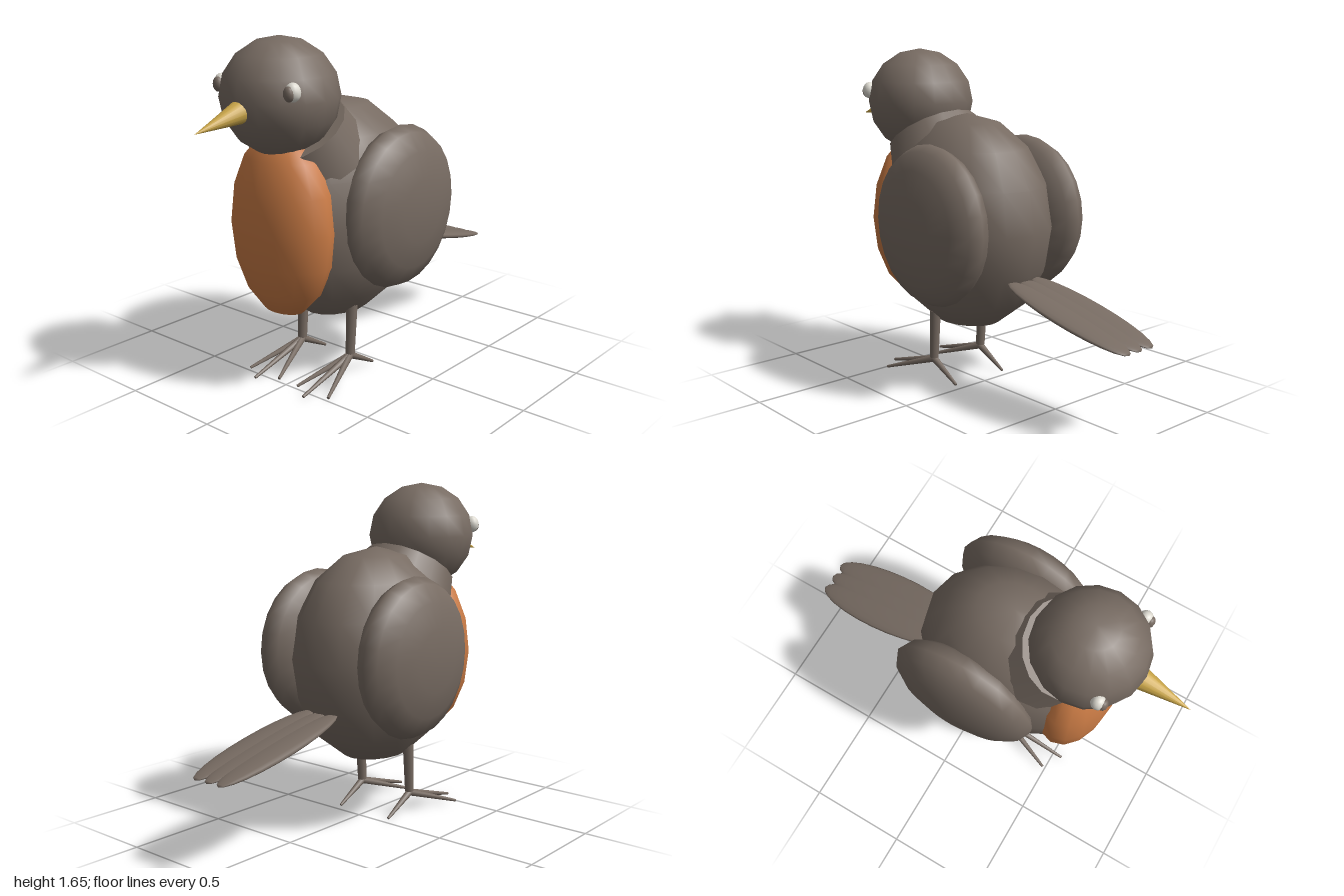
import * as THREE from 'three';

const mat = (name, hex) => Object.assign(new THREE.MeshStandardMaterial({ color: hex }), { name });

export function createModel() {
  const plumage = mat('greyBrown', 0x776b62);
  const orange = mat('breastOrange', 0xca7b45);
  const yellow = mat('beakYellow', 0xc9a548);
  const white = mat('eyeWhite', 0xdedbd2);

  const bird = new THREE.Group();
  bird.name = 'bird';

  const add = (name, geometry, material, parent = bird) => {
    const mesh = new THREE.Mesh(geometry, material);
    mesh.name = name;
    parent.add(mesh);
    return mesh;
  };

  // Smooth ellipsoid with few sides
  const ellipsoid = (name, material, pos, radii, w = 16, h = 8, parent = bird) => {
    const mesh = add(name, new THREE.SphereGeometry(1, w, h), material, parent);
    mesh.position.set(...pos);
    mesh.scale.set(...radii);
    return mesh;
  };

  // Tapered rod from a to b
  const rod = (name, material, a, b, ra, rb, sides = 10, parent = bird) => {
    const from = new THREE.Vector3(...a), to = new THREE.Vector3(...b);
    const dir = to.clone().sub(from);
    const mesh = add(name, new THREE.CylinderGeometry(rb, ra, dir.length(), sides), material, parent);
    mesh.position.copy(from).add(to).multiplyScalar(0.5);
    mesh.quaternion.setFromUnitVectors(new THREE.Vector3(0, 1, 0), dir.normalize());
    return mesh;
  };

  // Trunk, breast, neck and head
  ellipsoid('body', plumage, [0, 0.81, 0.13], [0.37, 0.54, 0.48]);
  ellipsoid('breast', orange, [0, 0.8, 0.5], [0.285, 0.44, 0.18]);
  rod('neck', plumage, [0, 1.054, 0.284], [0, 1.235, 0.4], 0.29, 0.235, 16);
  ellipsoid('head', plumage, [0, 1.39, 0.5], [0.27, 0.265, 0.27]);
  rod('beak', yellow, [0, 1.36, 0.71], [0, 1.295, 1], 0.06, 0, 16);

  for (const s of [1, -1]) {
    const side = s > 0 ? 'left' : 'right';

    // Eye with a dark pupil on its front
    ellipsoid(side + 'Eye', white, [s * 0.215, 1.445, 0.645], [0.036, 0.042, 0.034], 12, 8);
    ellipsoid(side + 'Pupil', plumage, [s * 0.213, 1.44, 0.668], [0.027, 0.034, 0.022], 12, 8);

    // Folded wing: a disc-like ellipsoid whose poles point sideways
    const wing = ellipsoid(side + 'Wing', plumage, [s * 0.31, 0.84, 0.035], [0.39, 0.15, 0.375], 24, 8);
    wing.rotation.z = Math.PI / 2;

    // Leg and four toes
    const leg = new THREE.Group();
    leg.name = side + 'Leg';
    leg.position.x = s * 0.157;
    bird.add(leg);
    rod('shank', plumage, [0, 0.36, 0.198], [0, 0.11, 0.212], 0.028, 0.023, 10, leg);
    const tips = [[0, 0.55], [0.097, 0.485], [-0.097, 0.485], [0, 0.04]];
    for (const [x, z] of tips) {
      rod('toe', plumage, [0, 0.102, 0.212], [x, 0.008, z], 0.018, 0.007, 8, leg);
    }
  }

  // Tail of three overlapping feathers
  const tail = new THREE.Group();
  tail.name = 'tail';
  tail.position.set(0, 0.498, -0.63);
  tail.rotation.x = -0.229;
  bird.add(tail);
  for (const x of [-0.075, 0, 0.075]) {
    const feather = ellipsoid('tailFeather', plumage, [x, 0, 0], [0.09, 0.38, 0.022], 16, 12, tail);
    feather.rotation.x = Math.PI / 2;
  }

  return bird;
}
